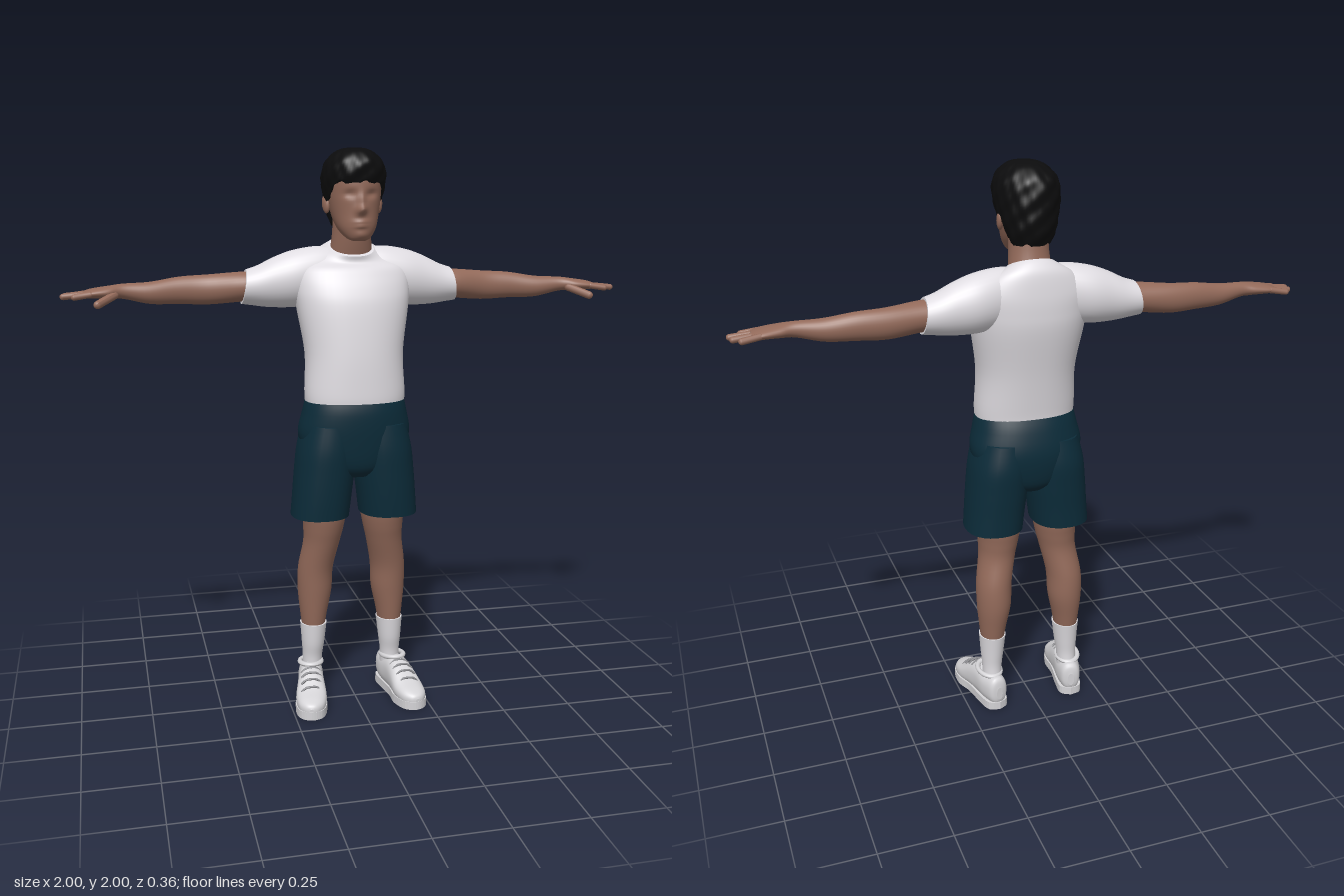
import * as THREE from 'three';

const mat = (name, color) => Object.assign(new THREE.MeshStandardMaterial({ color }), { name });

// Smooth loft along an axis (0 x, 1 y, 2 z).
// Rows: [position, centre u, radius u, centre v, radius v]; (u,v) is x,z on y / z,y on x / y,x on z.
function loft(axis, rows, { power = 2, seg = 32, sub = 5, warp } = {}) {
  const u = (axis + 2) % 3, v = (axis + 1) % 3, pos = [], idx = [];
  const at = i => rows[Math.max(0, Math.min(rows.length - 1, i))];
  const samples = [];
  for (let i = 0; i < rows.length - 1; i++)
    for (let s = 0; s < sub + (i === rows.length - 2 ? 1 : 0); s++) {
      const t = s / sub;
      samples.push(rows[0].map((_, k) => {
        const a = at(i - 1)[k], b = at(i)[k], c = at(i + 1)[k], d = at(i + 2)[k];
        return b + 0.5 * t * (c - a + t * (2 * a - 5 * b + 4 * c - d + t * (3 * (b - c) + d - a)));
      }));
    }
  const bend = x => Math.sign(x) * Math.abs(x) ** (2 / power);
  const push = (s, cu, cv) => {
    const p = [0, 0, 0];
    p[axis] = s[0]; p[u] = s[1] + s[2] * cu; p[v] = s[3] + s[4] * cv;
    const q = new THREE.Vector3(...p);
    if (warp) warp(q);
    pos.push(q.x, q.y, q.z);
  };
  const ring = s => {
    for (let j = 0; j < seg; j++) {
      const a = j / seg * Math.PI * 2;
      push(s, bend(Math.cos(a)), bend(Math.sin(a)));
    }
  };
  samples.forEach(ring);
  for (let i = 0; i < samples.length - 1; i++)
    for (let j = 0; j < seg; j++) {
      const a = i * seg + j, b = i * seg + (j + 1) % seg;
      idx.push(a, a + seg, b, b, a + seg, b + seg);
    }
  // End caps with their own vertices, so the rims stay crisp
  for (const [s, top] of [[samples[0], false], [samples[samples.length - 1], true]]) {
    const o = pos.length / 3;
    ring(s);
    push(s, 0, 0);
    for (let j = 0; j < seg; j++) {
      const a = o + j, b = o + (j + 1) % seg;
      top ? idx.push(a, o + seg, b) : idx.push(a, b, o + seg);
    }
  }
  const g = new THREE.BufferGeometry();
  g.setAttribute('position', new THREE.Float32BufferAttribute(pos, 3));
  g.setIndex(idx);
  g.computeVertexNormals();
  return g;
}

function mirrored(geo) {
  const g = geo.clone().scale(-1, 1, 1);
  const order = g.index ? Array.from(g.index.array) : [...Array(g.attributes.position.count).keys()];
  for (let i = 0; i < order.length; i += 3) [order[i], order[i + 1]] = [order[i + 1], order[i]];
  g.setIndex(order);
  g.computeVertexNormals();
  return g;
}

// Rounded finger between two points
function finger(from, to, r) {
  const a = new THREE.Vector3(...from), b = new THREE.Vector3(...to), d = b.clone().sub(a);
  const g = new THREE.CapsuleGeometry(r, d.length(), 6, 12);
  g.applyQuaternion(new THREE.Quaternion().setFromUnitVectors(new THREE.Vector3(0, 1, 0), d.normalize()));
  return g.translate(...a.add(b).multiplyScalar(0.5).toArray());
}

const bump = (p, x, y, sx, sy) => Math.exp(-(((p.x - x) / sx) ** 2) - ((p.y - y) / sy) ** 2);
const smooth = THREE.MathUtils.smoothstep;

export function createModel() {
  const group = new THREE.Group();
  const skin = mat('skin', 0x936a5a), hair = mat('hair', 0x0c0c0d), shirt = mat('shirt', 0xdfdce1);
  const shorts = mat('shorts', 0x0c2c3a), sock = mat('sock', 0xdcdade), shoe = mat('shoe', 0xd4d3d6);
  const trim = mat('shoeTrim', 0x8b8b8f);
  const add = (name, geo, m) => {
    const mesh = new THREE.Mesh(geo, m);
    mesh.name = name;
    group.add(mesh);
  };
  const pair = (name, geo, m) => {
    add(name + 'Left', geo, m);
    add(name + 'Right', mirrored(geo), m);
  };

  // Head, with sculpted nose, eye sockets and lips
  add('head', loft(1, [
    [1.686, 0, 0.02, 0.062, 0.018], [1.697, 0, 0.042, 0.05, 0.04], [1.73, 0, 0.066, 0.02, 0.08],
    [1.78, 0, 0.081, -0.006, 0.106], [1.84, 0, 0.09, -0.015, 0.117], [1.9, 0, 0.092, -0.018, 0.118],
    [1.95, 0, 0.075, -0.018, 0.095], [1.98, 0, 0.03, -0.018, 0.04],
  ], {
    seg: 80, sub: 8, power: 2.15,
    warp: p => {
      if (p.z < 0.02) return;
      p.z += 0.022 * bump(p, 0, 1.79, 0.017, 0.016) + 0.011 * bump(p, 0, 1.82, 0.011, 0.025)
        + 0.007 * bump(p, 0, 1.75, 0.025, 0.006) + 0.007 * bump(p, 0, 1.736, 0.022, 0.006)
        + 0.006 * bump(p, 0, 1.705, 0.025, 0.014)
        - 0.01 * (bump(p, 0.037, 1.842, 0.02, 0.012) + bump(p, -0.037, 1.842, 0.02, 0.012));
    },
  }), skin);
  add('neck', loft(1, [
    [1.59, 0, 0.08, -0.075, 0.06], [1.66, 0, 0.073, -0.062, 0.066],
    [1.72, 0, 0.068, -0.05, 0.066], [1.8, 0, 0.068, -0.04, 0.066],
  ]), skin);
  const ear = new THREE.SphereGeometry(1, 16, 12).scale(0.012, 0.033, 0.02);
  pair('ear', ear.rotateX(-0.2).rotateY(-0.3).translate(0.094, 1.81, -0.035), skin);

  // Hair: cap lifted to a hairline that drops from forehead to nape, with ruffled locks
  add('hair', loft(1, [
    [1.735, 0, 0.07, -0.06, 0.07], [1.78, 0, 0.089, -0.05, 0.1], [1.84, 0, 0.103, -0.035, 0.122],
    [1.9, 0, 0.11, -0.023, 0.134], [1.945, 0, 0.1, -0.018, 0.13], [1.978, 0, 0.072, -0.015, 0.097],
    [1.994, 0, 0.042, -0.015, 0.055], [1.998, 0, 0.008, -0.015, 0.01],
  ], {
    seg: 72, sub: 7,
    warp: p => {
      const a = Math.atan2(p.x, p.z + 0.02), locks = Math.sin(a * 17 + p.y * 60) + Math.sin(a * 9 - p.y * 90);
      const line = 1.735 + 0.085 * smooth(p.z, -0.085, -0.045) + 0.06 * smooth(p.z, -0.01, 0.07);
      const k = 1 + 0.014 * locks;
      p.set(p.x * k, Math.max(p.y, line + 0.005 * locks), (p.z + 0.02) * k - 0.02);
    },
  }), hair);

  // T-shirt with a neckline that dips at the front
  add('shirtBody', loft(1, [
    [1.13, 0, 0.178, -0.004, 0.125], [1.17, 0, 0.179, -0.006, 0.127], [1.3, 0, 0.175, -0.018, 0.133],
    [1.45, 0, 0.198, -0.04, 0.138], [1.52, 0, 0.206, -0.052, 0.13], [1.58, 0, 0.2, -0.066, 0.113],
    [1.635, 0, 0.155, -0.076, 0.092], [1.668, 0, 0.11, -0.07, 0.079], [1.69, 0, 0.08, -0.06, 0.071],
  ], { seg: 48, power: 2.25, warp: p => { p.y -= 0.45 * smooth(p.y, 1.58, 1.69) * (p.z + 0.12); } }), shirt);
  pair('sleeve', loft(0, [
    [0.05, -0.075, 0.06, 1.575, 0.085], [0.12, -0.08, 0.075, 1.565, 0.1], [0.2, -0.085, 0.084, 1.553, 0.1],
    [0.28, -0.087, 0.076, 1.541, 0.087], [0.34, -0.088, 0.069, 1.531, 0.069], [0.378, -0.088, 0.065, 1.527, 0.06],
  ], { warp: p => { p.x -= 0.15 * (p.y - 1.53) * smooth(p.x, 0.2, 0.35); } }), shirt);

  // Arms and hands
  pair('arm', loft(0, [
    [0.3, -0.09, 0.055, 1.53, 0.05], [0.385, -0.09, 0.055, 1.527, 0.052], [0.5, -0.107, 0.041, 1.518, 0.052],
    [0.6, -0.104, 0.036, 1.517, 0.047], [0.7, -0.09, 0.034, 1.511, 0.038], [0.79, -0.08, 0.028, 1.519, 0.026],
    [0.84, -0.073, 0.043, 1.517, 0.022], [0.895, -0.073, 0.049, 1.514, 0.017], [0.925, -0.073, 0.043, 1.511, 0.011],
  ]), skin);
  [[-0.034, 0.952, -0.027], [-0.06, 0.989, -0.058], [-0.087, 0.982, -0.09], [-0.111, 0.958, -0.119]].forEach(
    ([z, tx, tz], i) => pair('finger' + (i + 1), finger([0.9, 1.513, z], [tx, 1.505, tz], 0.011), skin));
  pair('thumb', finger([0.82, 1.508, -0.05], [0.877, 1.482, 0.01], 0.014), skin);

  // Shorts
  add('shortsHips', loft(1, [
    [0.86, 0, 0.07, -0.02, 0.09], [0.9, 0, 0.15, -0.02, 0.122], [1.0, 0, 0.2, -0.02, 0.139],
    [1.09, 0, 0.187, -0.01, 0.135], [1.15, 0, 0.172, -0.004, 0.12],
  ], { seg: 48, power: 2.25 }), shorts);
  pair('shortsLeg', loft(1, [
    [0.71, 0.126, 0.104, -0.022, 0.117], [0.78, 0.119, 0.105, -0.02, 0.123], [0.87, 0.11, 0.106, -0.02, 0.131],
    [0.96, 0.102, 0.103, -0.02, 0.137], [1.05, 0.092, 0.09, -0.016, 0.13],
  ], { power: 2.3 }), shorts);

  // Legs and socks
  pair('leg', loft(1, [
    [0.24, 0.146, 0.038, -0.06, 0.046], [0.32, 0.144, 0.049, -0.062, 0.058], [0.41, 0.139, 0.062, -0.064, 0.07],
    [0.5, 0.136, 0.064, -0.058, 0.074], [0.6, 0.118, 0.066, -0.038, 0.078], [0.66, 0.111, 0.073, -0.032, 0.088],
    [0.72, 0.108, 0.08, -0.03, 0.097], [0.82, 0.105, 0.085, -0.025, 0.1],
  ]), skin);
  pair('sock', loft(1, [
    [0.08, 0.15, 0.036, -0.068, 0.046], [0.15, 0.149, 0.036, -0.064, 0.042],
    [0.21, 0.147, 0.042, -0.06, 0.05], [0.285, 0.145, 0.049, -0.06, 0.058],
  ]), sock);

  // Shoes: turned outward, with sole, upper, collar and laces
  const place = g => g.rotateY(0.17).translate(0.167, 0, 0);
  const sole = new THREE.Shape();
  sole.setFromPoints(new THREE.SplineCurve([
    [0, -0.145], [0.038, -0.125], [0.046, -0.06], [0.047, 0.02], [0.058, 0.09], [0.042, 0.155], [0, 0.178],
    [-0.042, 0.155], [-0.057, 0.09], [-0.046, 0.02], [-0.045, -0.06], [-0.038, -0.125], [0, -0.145],
  ].map(p => new THREE.Vector2(p[0], -p[1]))).getPoints(60).slice(0, -1).reverse());
  pair('shoeSole', place(new THREE.ExtrudeGeometry(sole, { depth: 0.03, bevelEnabled: false }).rotateX(-Math.PI / 2)), shoe);
  pair('shoeUpper', place(loft(2, [
    [-0.142, 0.065, 0.025, 0, 0.012], [-0.13, 0.072, 0.053, 0, 0.034], [-0.08, 0.07, 0.057, 0, 0.045],
    [-0.02, 0.073, 0.064, 0, 0.046], [0.03, 0.066, 0.057, 0, 0.05], [0.09, 0.047, 0.038, 0, 0.056],
    [0.14, 0.038, 0.029, 0, 0.047], [0.168, 0.033, 0.021, 0, 0.026], [0.176, 0.031, 0.01, 0, 0.008],
  ], { power: 2.4 })), shoe);
  pair('shoeCollar', place(new THREE.TorusGeometry(0.04, 0.009, 10, 32).rotateX(Math.PI / 2)
    .scale(1, 1, 1.3).rotateX(-0.1).translate(0, 0.13, -0.055)), shoe);
  [[0.012, 0.129], [0.038, 0.121], [0.064, 0.107], [0.09, 0.088]].forEach(([z, y], i) => {
    const arc = new THREE.CatmullRomCurve3([[-0.036, -0.016], [-0.018, -0.001], [0, 0.001], [0.018, -0.001], [0.036, -0.016]]
      .map(([x, h], k) => new THREE.Vector3(x, y + h, z + (k - 2) * 0.003)));
    pair('lace' + (i + 1), place(new THREE.TubeGeometry(arc, 16, 0.004, 6)), trim);
  });
  return group;
}
